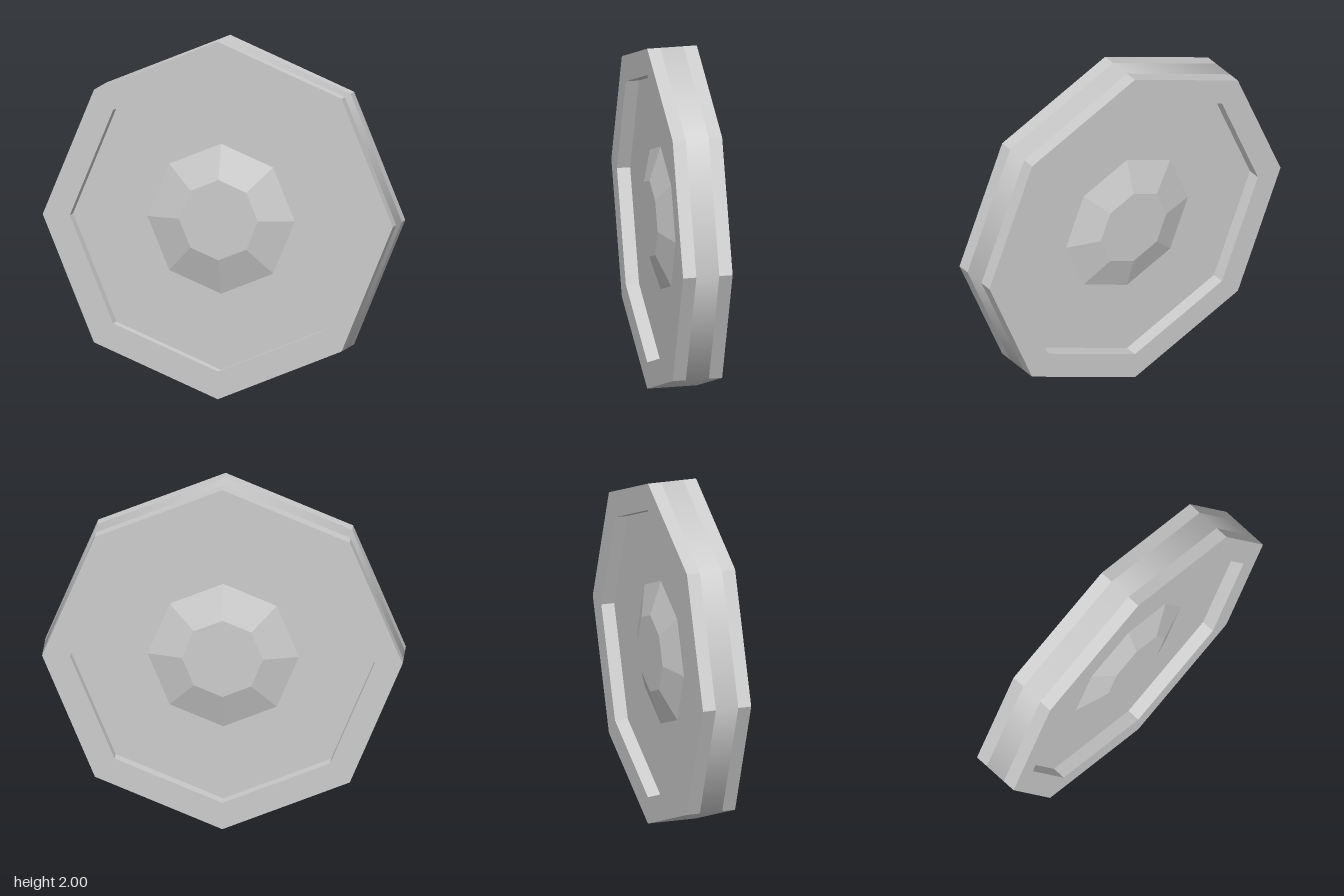
import * as THREE from 'three';

const SIDES = 8;
const DISC_HALF = 0.065; // half thickness of the central disc
const RIM_HALF = 0.14;   // half thickness at the raised rims

const smoothMat = new THREE.MeshStandardMaterial({ color: 0xcccccc });
const flatMat = new THREE.MeshStandardMaterial({ color: 0xcccccc, flatShading: true });

// Corner points of an octagon with a corner pointing straight up
function octagon(radius) {
  return Array.from({ length: SIDES }, (_, i) => {
    const a = (i / SIDES) * Math.PI * 2;
    return new THREE.Vector2(radius * Math.cos(a), radius * Math.sin(a));
  });
}

function addMesh(parent, name, geometry, material) {
  const mesh = new THREE.Mesh(geometry, material);
  mesh.name = name;
  parent.add(mesh);
  return mesh;
}

// One face: raised octagonal rim around a recess, with a tapered boss
function createFace(name) {
  const face = new THREE.Group();
  face.name = name;

  const ring = new THREE.Shape(octagon(1));
  ring.holes.push(new THREE.Path(octagon(0.845).reverse()));
  const rimGeo = new THREE.ExtrudeGeometry(ring, { depth: RIM_HALF - DISC_HALF, bevelEnabled: false });
  rimGeo.translate(0, 0, DISC_HALF);
  addMesh(face, 'rim', rimGeo, flatMat);

  const height = 0.062;
  const bossGeo = new THREE.CylinderGeometry(0.225, 0.42, height, SIDES);
  bossGeo.rotateX(Math.PI / 2);
  bossGeo.translate(0, 0, DISC_HALF + height / 2);
  addMesh(face, 'boss', bossGeo, flatMat);
  return face;
}

export function createModel() {
  const model = new THREE.Group();
  model.name = 'octagonalDisc';

  const body = new THREE.Group();
  body.name = 'body';
  body.position.y = 1;
  model.add(body);

  // Central disc, its edge band softly shaded around the corners
  const discGeo = new THREE.CylinderGeometry(1, 1, DISC_HALF * 2, SIDES);
  discGeo.rotateX(Math.PI / 2);
  addMesh(body, 'disc', discGeo, smoothMat);

  // Identical front and back faces
  const front = createFace('frontFace');
  const back = createFace('backFace');
  back.rotation.y = Math.PI;
  body.add(front, back);

  return model;
}
